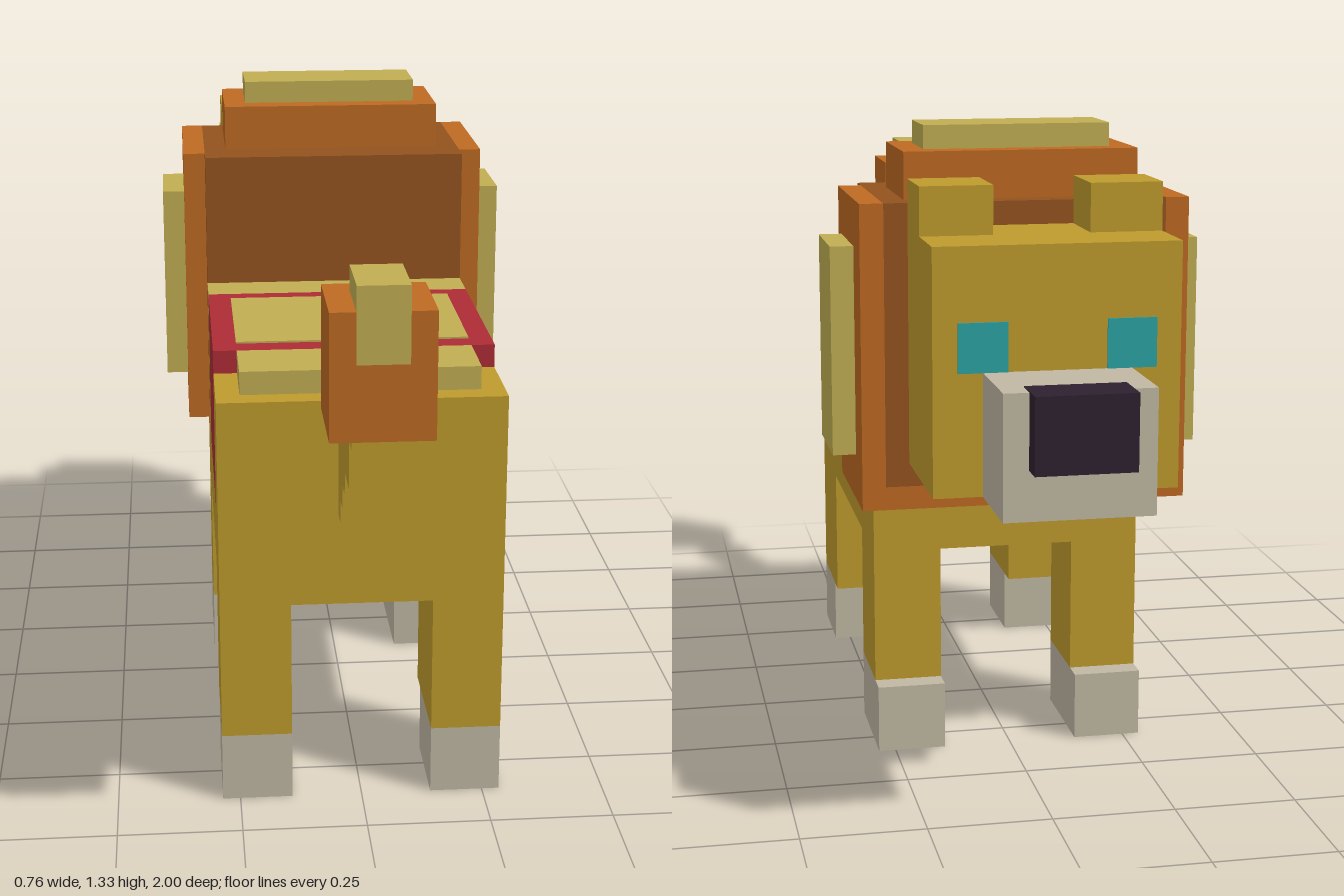
import * as THREE from 'three';

const U = 1 / 21; // one block
const mat = (name, color) => {
  const m = new THREE.MeshStandardMaterial({ color });
  m.name = name;
  return m;
};

export function createModel() {
  const gold = mat('gold fur', 0xbf9b2d);
  const cream = mat('cream', 0xc0ae52);
  const orange = mat('orange mane', 0xbd6a22);
  const brown = mat('brown mane', 0x93531f);
  const red = mat('red saddle', 0xad2b36);
  const grey = mat('pale grey', 0xc0b8a3);
  const black = mat('nose black', 0x2e2130);
  const teal = mat('eye teal', 0x2ba3a3);

  const model = new THREE.Group();
  model.name = 'lion';
  const group = (name) => {
    const g = new THREE.Group();
    g.name = name;
    model.add(g);
    return g;
  };
  // Box from block ranges along x, y and z
  const box = (parent, name, material, [x0, x1], [y0, y1], [z0, z1]) => {
    const geo = new THREE.BoxGeometry((x1 - x0) * U, (y1 - y0) * U, (z1 - z0) * U);
    const mesh = new THREE.Mesh(geo, material);
    mesh.position.set((x0 + x1) / 2 * U, (y0 + y1) / 2 * U, (z0 + z1) / 2 * U);
    mesh.name = name;
    parent.add(mesh);
  };
  // Same box on both sides
  const pair = (parent, name, material, [x0, x1], y, z) => {
    box(parent, name + 'Left', material, [x0, x1], y, z);
    box(parent, name + 'Right', material, [-x1, -x0], y, z);
  };

  // Body, leaving room for saddle and mane
  const body = group('body');
  box(body, 'rump', gold, [-6, 6], [9, 18], [9, 13]);
  box(body, 'belly', gold, [-6, 6], [9, 12], [0, 9]);
  box(body, 'shoulders', gold, [-6, 6], [9, 18], [-2, 0]);
  box(body, 'chest', gold, [-6, 6], [9, 13], [-6, -2]);
  box(body, 'rearBackStripe', cream, [-5, 5], [18, 19], [9, 12]);
  box(body, 'frontBackStripe', cream, [-6, 6], [18, 19], [-2, 0]);

  // Saddle
  const saddle = group('saddle');
  box(saddle, 'saddleCloth', red, [-6, 6], [12, 19], [0, 9]);
  box(saddle, 'saddleInlay', cream, [-5, 5], [19, 19.08], [1, 8]);

  // Legs and paws
  const legs = group('legs');
  pair(legs, 'backLeg', gold, [3, 6], [3, 9], [8, 13]);
  pair(legs, 'backPaw', grey, [3, 6], [0, 3], [9, 13]);
  pair(legs, 'frontLeg', gold, [3, 6], [3, 9], [-6, -2]);
  pair(legs, 'frontPaw', grey, [3, 6], [0, 3], [-7, -2]);

  // Mane in layers
  const mane = group('mane');
  box(mane, 'maneCore', brown, [-6, 6], [13, 25], [-10, -2]);
  box(mane, 'maneBottom', orange, [-6, 6], [12, 13], [-10, -3]);
  pair(mane, 'maneSide', orange, [6, 7], [12, 25], [-10, -3]);
  pair(mane, 'maneSidePad', cream, [7, 8], [14, 23], [-8, -4]);
  box(mane, 'maneTop', orange, [-5, 5], [25, 27], [-9, -4]);
  box(mane, 'maneCrest', cream, [-4, 4], [27, 28], [-8, -5]);

  // Head
  const head = group('head');
  box(head, 'skull', gold, [-5, 5], [14, 24], [-16, -10]);
  pair(head, 'ear', gold, [2, 5], [24, 26], [-13, -10]);
  box(head, 'muzzle', grey, [-3, 3], [14, 19], [-20, -16]);
  box(head, 'nose', black, [-2, 2], [16, 19.05], [-21, -19]);
  pair(head, 'eye', teal, [2, 4], [19, 21], [-16.08, -16]);

  // Stepped tail: z start, z end, y bottom, y top
  const tail = group('tail');
  [[13, 14, 13, 17], [14, 15, 14, 18], [15, 16, 15, 19], [16, 18, 16, 19], [18, 19, 18, 19]]
    .forEach(([z0, z1, y0, y1], i) => box(tail, 'tailStep' + (i + 1), gold, [-1, 0], [y0, y1], [z0, z1]));
  box(tail, 'tailTuft', orange, [-2, 2], [19, 24], [17, 21]);
  box(tail, 'tailTip', cream, [-1, 1], [22, 25], [18, 21.05]);

  return model;
}
